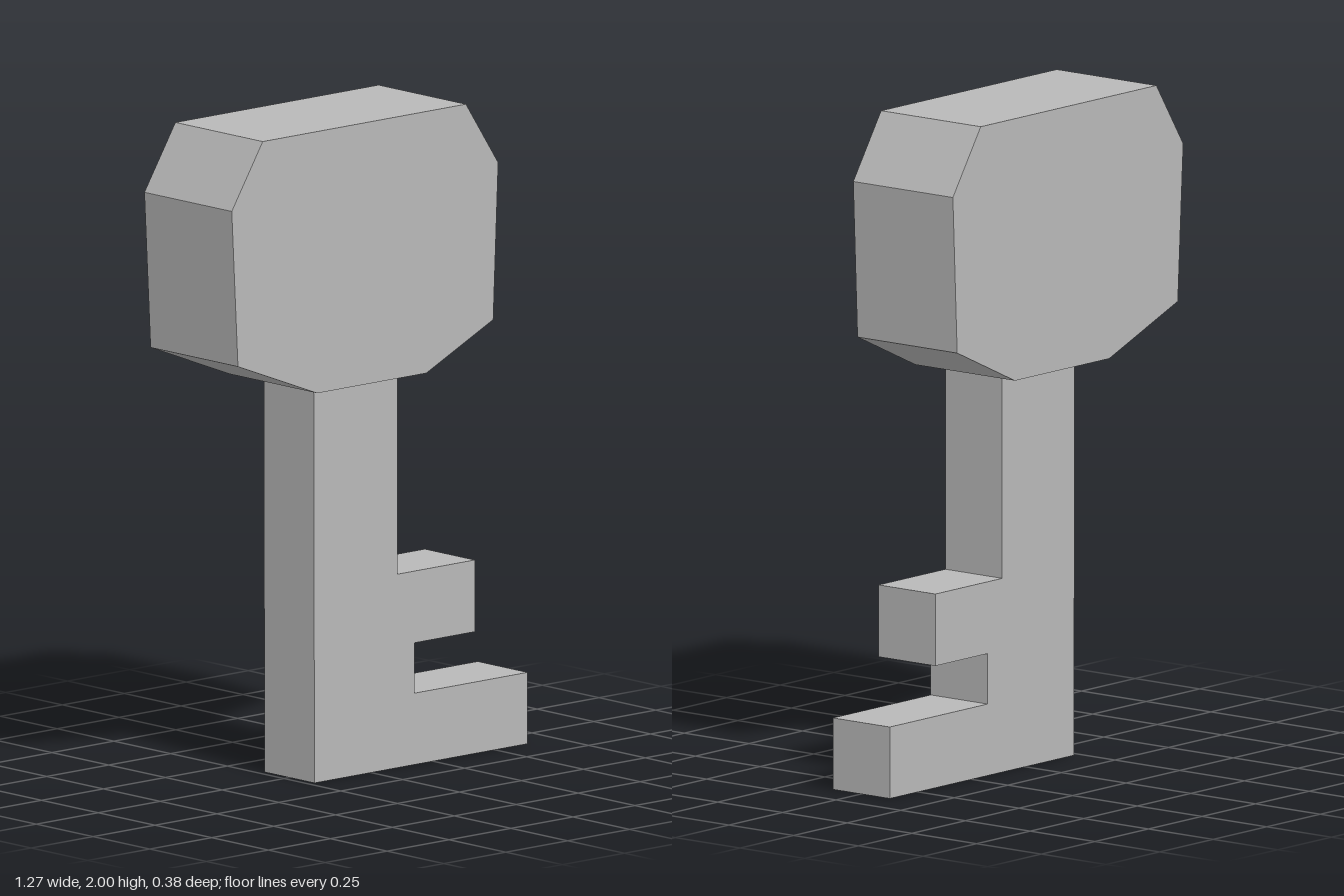
import * as THREE from 'three';

// Extrude a closed x/y outline from zBack to zFront
function slab(name, outline, zBack, zFront, material) {
  const shape = new THREE.Shape(outline.map(([x, y]) => new THREE.Vector2(x, y)));
  const geometry = new THREE.ExtrudeGeometry(shape, { depth: zFront - zBack, bevelEnabled: false });
  geometry.translate(0, 0, zBack);
  const mesh = new THREE.Mesh(geometry, material);
  mesh.name = name;
  return mesh;
}

export function createModel() {
  const key = new THREE.Group();
  key.name = 'key';
  const grey = new THREE.MeshStandardMaterial({ color: 0xb8b8b8 });
  grey.name = 'grey';

  // Thick eight-sided handle
  key.add(slab('bow', [
    [-0.29, 1.205], [0.15, 1.205], [0.42, 1.33], [0.44, 1.805],
    [0.31, 2], [-0.51, 2], [-0.635, 1.805], [-0.61, 1.33],
  ], -0.195, 0.19, grey));

  // Shaft with two teeth on its left side
  key.add(slab('shaftAndTeeth', [
    [-0.228, 0], [0.632, 0], [0.632, 0.217], [0.175, 0.217], [0.175, 0.37],
    [0.419, 0.37], [0.419, 0.588], [0.107, 0.588], [0.107, 1.205], [-0.231, 1.205],
  ], -0.11, 0.11, grey));

  return key;
}
